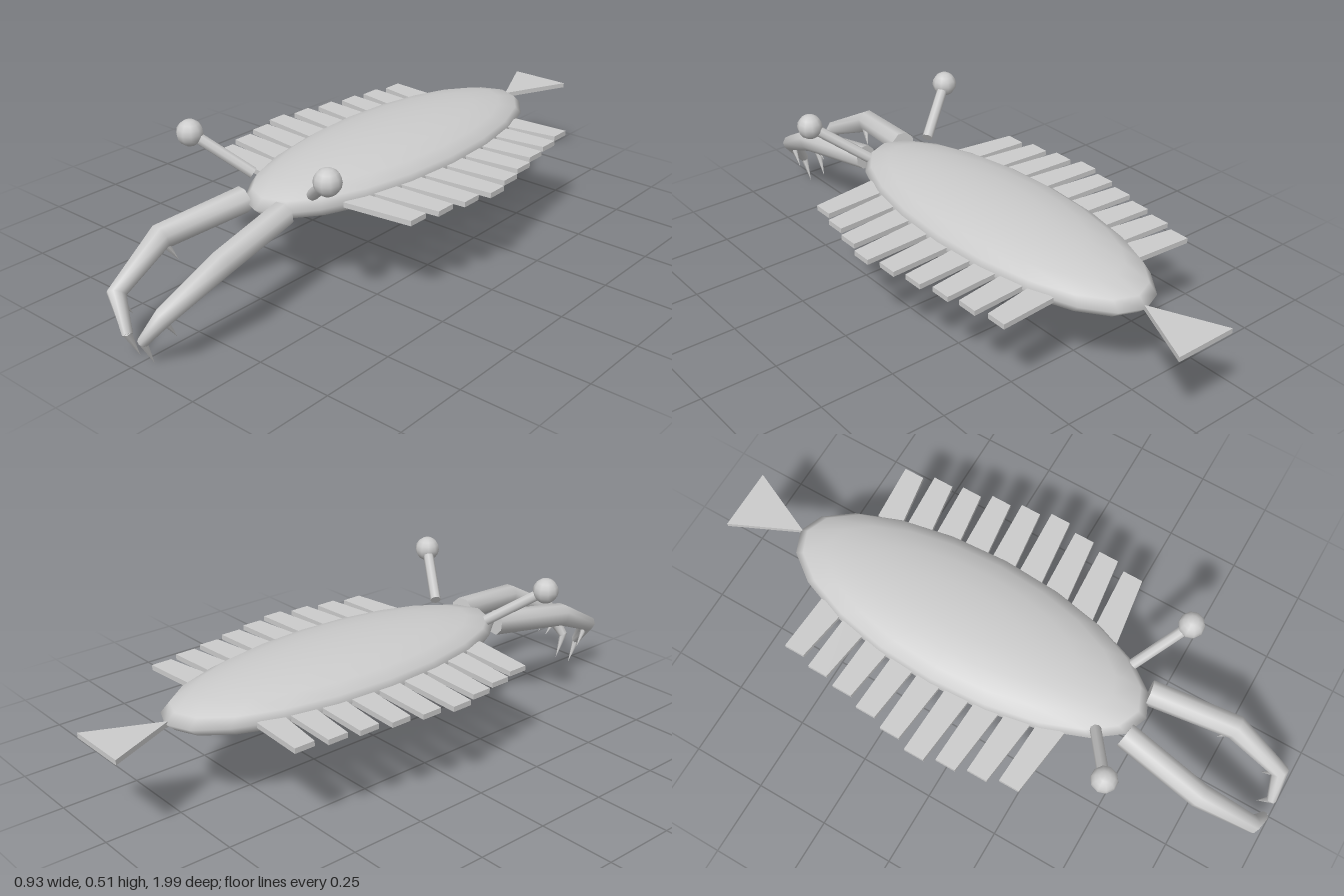
import * as THREE from 'three';

const mat = new THREE.MeshStandardMaterial({ color: 0xcccccc, side: THREE.DoubleSide });
const vec = (a) => new THREE.Vector3(...a);

function add(parent, name, geometry) {
  const mesh = new THREE.Mesh(geometry, mat);
  mesh.name = name;
  parent.add(mesh);
  return mesh;
}

// Tapered rod between two points
function rod(parent, name, from, to, r0, r1, sides) {
  const a = vec(from), b = vec(to), dir = b.clone().sub(a);
  const mesh = add(parent, name, new THREE.CylinderGeometry(r1, r0, dir.length(), sides));
  mesh.position.copy(a).add(b).multiplyScalar(0.5);
  mesh.quaternion.setFromUnitVectors(new THREE.Vector3(0, 1, 0), dir.normalize());
}

// Thin horizontal plate from [x, z] corners
function plate(parent, name, corners, y, thickness) {
  const shape = new THREE.Shape(corners.map(([x, z]) => new THREE.Vector2(x, -z)));
  const geo = new THREE.ExtrudeGeometry(shape, { depth: thickness, bevelEnabled: false });
  geo.rotateX(-Math.PI / 2).translate(0, y - thickness / 2, 0);
  add(parent, name, geo);
}

// Jointed limb: one ring of vertices per joint, mitred at the bends, closed at both ends
function limb(points, radii, sides) {
  const pts = points.map(vec), pos = [], index = [];
  pts.forEach((p, i) => {
    const before = p.clone().sub(pts[Math.max(i - 1, 0)]).normalize();
    const after = pts[Math.min(i + 1, pts.length - 1)].clone().sub(p).normalize();
    const t = before.add(after).normalize();
    const u = new THREE.Vector3(1, 0, 0).addScaledVector(t, -t.x).normalize();
    const v = t.clone().cross(u);
    for (let j = 0; j < sides; j++) {
      const a = ((j + 0.5) / sides) * Math.PI * 2;
      const q = p.clone().addScaledVector(u, Math.cos(a) * radii[i]).addScaledVector(v, Math.sin(a) * radii[i]);
      pos.push(q.x, q.y, q.z);
      if (i > 0) {
        const k = (j + 1) % sides, lo = (i - 1) * sides, hi = i * sides;
        index.push(lo + j, lo + k, hi + k, lo + j, hi + k, hi + j);
      }
    }
  });
  // End caps use their own vertices so the rims stay sharp
  [0, pts.length - 1].forEach((ring, end) => {
    const base = pos.length / 3;
    pos.push(...pos.slice(ring * sides * 3, (ring + 1) * sides * 3));
    for (let j = 1; j < sides - 1; j++) {
      index.push(base, base + (end ? j : j + 1), base + (end ? j + 1 : j));
    }
  });
  const geo = new THREE.BufferGeometry();
  geo.setAttribute('position', new THREE.Float32BufferAttribute(pos, 3));
  geo.setIndex(index);
  geo.computeVertexNormals();
  return geo;
}

export function createModel() {
  const model = new THREE.Group();
  model.name = 'swimmingArthropod';

  // Long flattened body
  const body = add(model, 'body', new THREE.SphereGeometry(1, 20, 10));
  body.scale.set(0.245, 0.09, 0.645);
  body.position.set(0, 0.3, -0.135);

  // Triangular tail fan
  plate(model, 'tailFan', [[0, -0.77], [0.105, -1], [-0.105, -1]], 0.3, 0.016);

  const flapReach = [0.365, 0.386, 0.402, 0.424, 0.444, 0.465, 0.444, 0.424, 0.402];

  for (const s of [1, -1]) {
    const side = s > 0 ? 'left' : 'right';

    // Row of swept side flaps
    const flaps = new THREE.Group();
    flaps.name = side + 'Flaps';
    flapReach.forEach((x, i) => {
      const z = -0.598 + i * 0.1013;
      plate(flaps, 'flap', [[s * 0.172, z + 0.013], [s * x, z], [s * x, z + 0.069], [s * 0.172, z + 0.1]], 0.299, 0.017);
    });
    model.add(flaps);

    // Stalked eye
    const eye = new THREE.Group();
    eye.name = side + 'Eye';
    rod(eye, 'eyeStalk', [s * 0.122, 0.345, 0.392], [s * 0.28, 0.468, 0.498], 0.018, 0.018, 8);
    add(eye, 'eyeball', new THREE.SphereGeometry(0.042, 10, 8)).position.set(s * 0.28, 0.468, 0.498);
    model.add(eye);

    // Jointed grasping arm with spines
    const arm = new THREE.Group();
    arm.name = side + 'GraspingArm';
    const joints = [[0.08, 0.3, 0.478], [0.126, 0.269, 0.765], [0.098, 0.177, 0.953], [0.031, 0.083, 0.978]];
    add(arm, 'armSegments', limb(joints.map(([x, y, z]) => [s * x, y, z]), [0.042, 0.04, 0.029, 0.016], 8));
    rod(arm, 'spine', [s * 0.11, 0.25, 0.76], [s * 0.095, 0.192, 0.727], 0.013, 0, 6);
    rod(arm, 'spine', [s * 0.092, 0.165, 0.95], [s * 0.093, 0.094, 0.907], 0.013, 0, 6);
    rod(arm, 'tipSpine', [s * 0.032, 0.09, 0.98], [s * 0.03, 0, 0.942], 0.014, 0, 6);
    model.add(arm);
  }
  return model;
}
